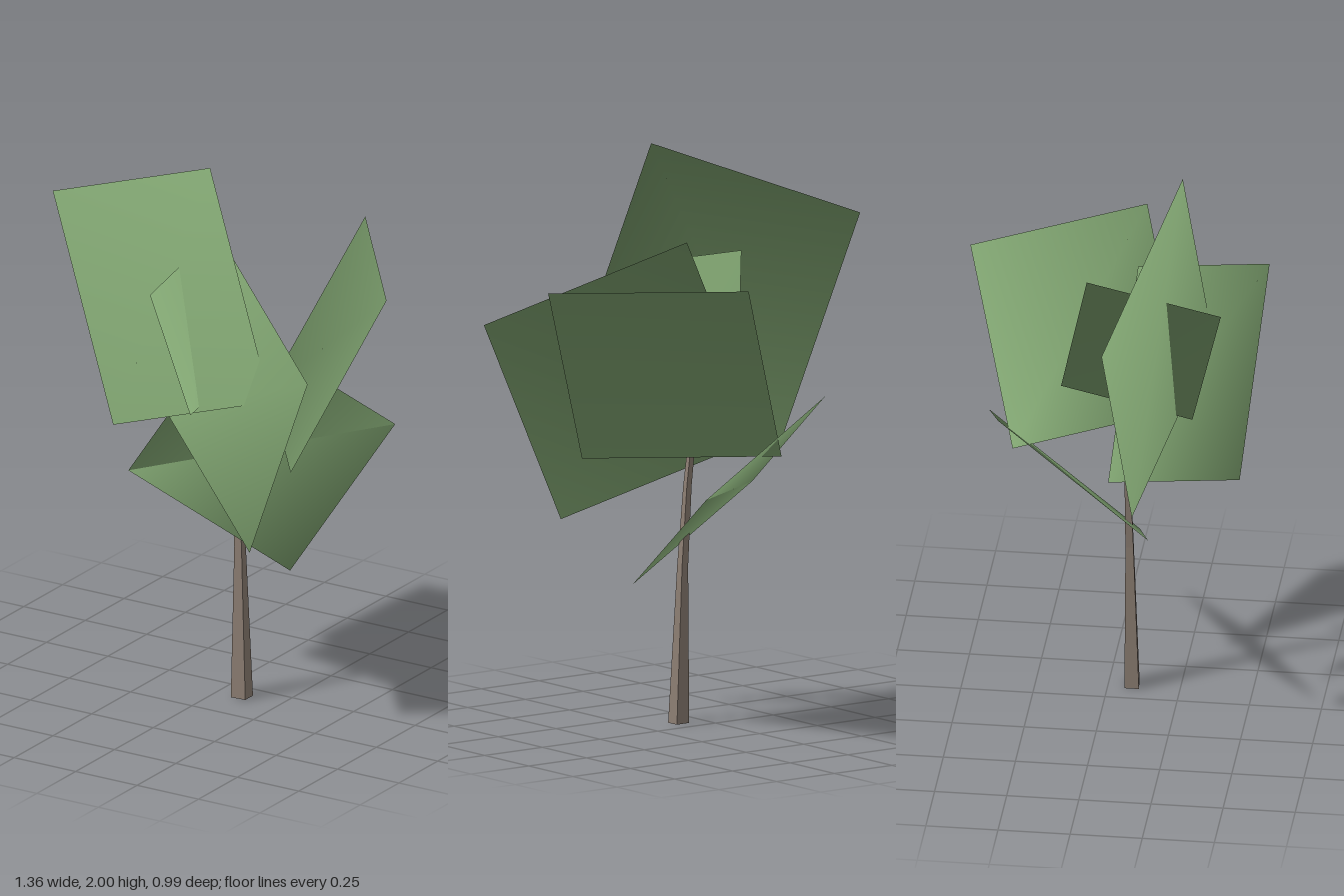
import * as THREE from 'three';

const leafGreen = new THREE.MeshStandardMaterial({ color: 0x7fa370, side: THREE.DoubleSide });
leafGreen.name = 'leafGreen';
const barkBrown = new THREE.MeshStandardMaterial({ color: 0x8b7d72, side: THREE.DoubleSide, flatShading: true });
barkBrown.name = 'barkBrown';

// Point on the trunk from which the foliage normals fan outward, for a soft rounded crown
const crownHeart = new THREE.Vector3(0.08, 0.65, 0.067);

// Square sheet between four corners, given in order around its edge
function sheet(corners) {
  const points = corners.map((p) => new THREE.Vector3(...p));
  const normals = points.map((p) => p.clone().sub(crownHeart).normalize());
  const g = new THREE.BufferGeometry().setFromPoints(points);
  g.setAttribute('normal', new THREE.Float32BufferAttribute(normals.flatMap((n) => n.toArray()), 3));
  g.setIndex([0, 1, 2, 0, 2, 3]);
  return g;
}

// Tapered four-sided trunk through sections [x, y, z, halfWidth, halfDepth]
function trunkGeometry(sections) {
  const pos = [], idx = [];
  for (const [x, y, z, w, d] of sections) {
    for (const [sx, sz] of [[-1, 1], [1, 0.85], [1, -1], [-1, -0.85]]) pos.push(x + sx * w, y, z + sz * d);
  }
  for (let s = 0; s < sections.length - 1; s++) {
    for (let k = 0; k < 4; k++) {
      const a = s * 4 + k, b = s * 4 + (k + 1) % 4;
      idx.push(a, b, b + 4, a, b + 4, a + 4);
    }
  }
  const t = (sections.length - 1) * 4;
  idx.push(0, 2, 1, 0, 3, 2, t, t + 1, t + 2, t, t + 2, t + 3);
  const g = new THREE.BufferGeometry();
  g.setAttribute('position', new THREE.Float32BufferAttribute(pos, 3));
  g.setIndex(idx);
  g.computeVertexNormals();
  return g;
}

export function createModel() {
  const tree = new THREE.Group();
  tree.name = 'tree';

  const trunk = new THREE.Mesh(trunkGeometry([
    [0.097, 0, 0.082, 0.028, 0.027],
    [0.085, 0.55, 0.075, 0.014, 0.015],
    [0.068, 0.83, 0.07, 0.011, 0.011],
    [0.03, 1.17, 0.065, 0.008, 0.008],
  ]), barkBrown);
  trunk.name = 'trunk';
  tree.add(trunk);

  // Foliage sheets set at different tilts around the trunk
  const foliage = {
    tallFrontFoliage: [[-0.39, 0.92, 0.14], [0.37, 1.22, 0.33], [0.08, 2, 0.26], [-0.68, 1.7, 0.07]],
    leftFrontFoliage: [[-0.24, 0.97, 0.04], [0.345, 0.69, 0.425], [0.625, 1.39, 0.495], [0.04, 1.67, 0.11]],
    leftBackFoliage: [[-0.045, 0.975, -0.315], [0.235, 1.61, -0.495], [0.675, 1.57, 0.065], [0.395, 0.935, 0.24]],
    lowFoliage: [[-0.3, 0.785, 0.185], [0.295, 0.505, 0.085], [0.385, 0.89, -0.45], [-0.21, 1.17, -0.345]],
    middleFoliage: [[0.025, 1.09, 0.3], [0.022, 1.195, -0.155], [-0.07, 1.655, -0.055], [-0.07, 1.55, 0.41]],
  };
  for (const [name, corners] of Object.entries(foliage)) {
    const mesh = new THREE.Mesh(sheet(corners), leafGreen);
    mesh.name = name;
    tree.add(mesh);
  }
  return tree;
}
